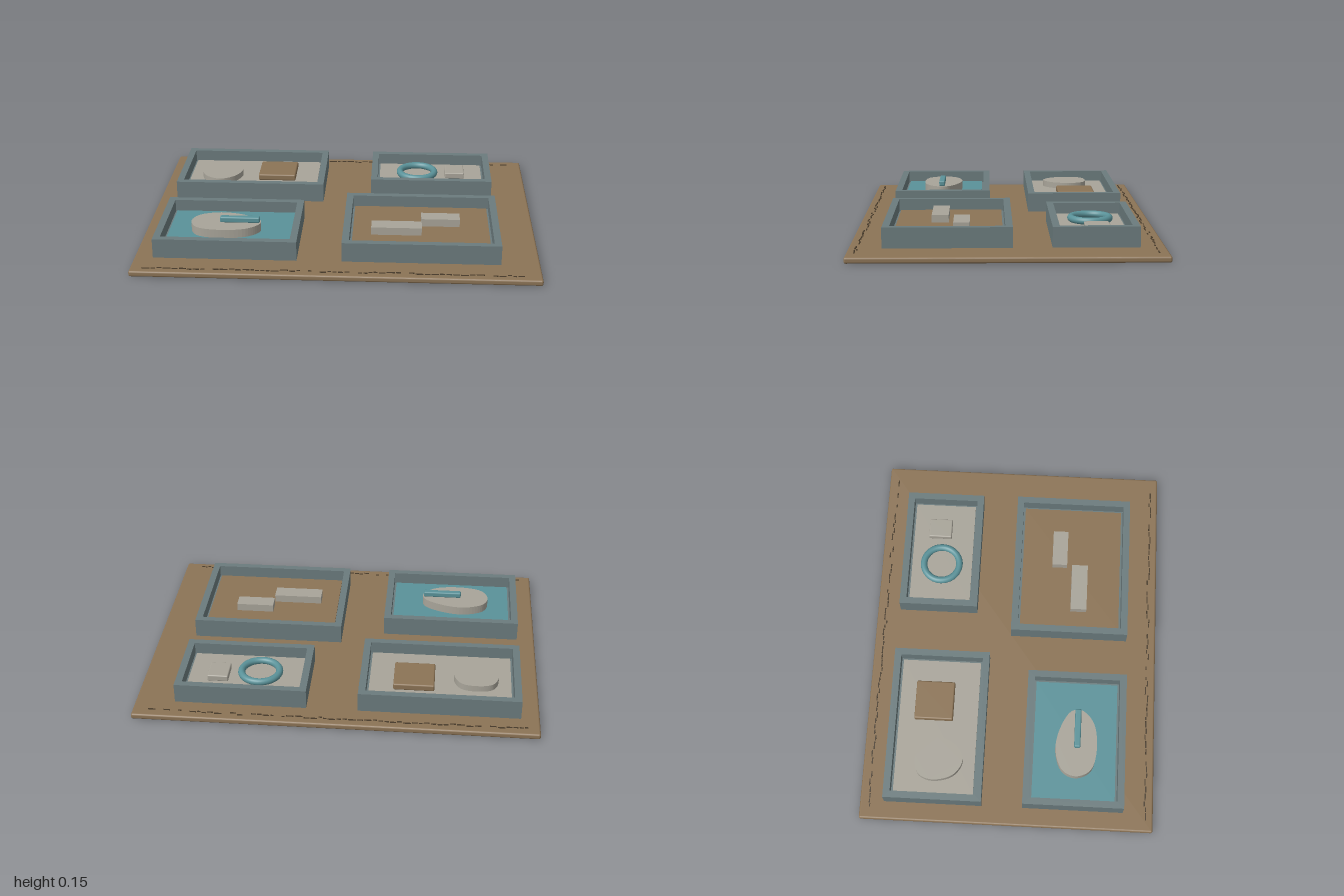
import * as THREE from 'three';
import { RoundedBoxGeometry } from 'three/addons/geometries/RoundedBoxGeometry.js';

const mat = (name, color) => Object.assign(new THREE.MeshStandardMaterial({ color }), { name });

export function createModel() {
  const model = new THREE.Group();
  const wood = mat('wood brown', 0x8b7355);
  const slate = mat('slate grey', 0x6b7b7d);
  const teal = mat('teal', 0x5a9299);
  const stone = mat('pale stone', 0xa8a499);
  const dark = mat('dark stitch', 0x4a3d2c);

  const FLOOR = 0.075, RIM = 0.13, WALL = 0.035;

  const add = (parent, name, geometry, material) => {
    const mesh = new THREE.Mesh(geometry, material);
    mesh.name = name;
    parent.add(mesh);
    return mesh;
  };

  // Box given by its extents, rounded when r > 0
  const block = (parent, name, material, [x0, x1], [y0, y1], [z0, z1], r = 0) => {
    const s = [x1 - x0, y1 - y0, z1 - z0];
    const g = r ? new RoundedBoxGeometry(...s, 3, r) : new THREE.BoxGeometry(...s);
    const mesh = add(parent, name, g, material);
    mesh.position.set((x0 + x1) / 2, (y0 + y1) / 2, (z0 + z1) / 2);
    return mesh;
  };

  // Smooth closed outline in x, z raised into a flat slab
  const slab = (parent, name, material, outline, y0, y1) => {
    const curve = new THREE.CatmullRomCurve3(
      outline.map(([x, z]) => new THREE.Vector3(x, -z, 0)), true);
    const shape = new THREE.Shape(curve.getPoints(64).slice(0, -1).map(p => new THREE.Vector2(p.x, p.y)));
    const g = new THREE.ExtrudeGeometry(shape, { depth: y1 - y0, bevelEnabled: false });
    g.rotateX(-Math.PI / 2);
    add(parent, name, g, material).position.y = y0;
  };

  // Tray: rectangular wall ring, inner ledge and coloured floor
  const tray = (name, [x0, x1], [z0, z1], floorMaterial) => {
    const group = new THREE.Group();
    group.name = name;
    model.add(group);
    const rect = (Type, i) => new Type([
      [x0 + i, -z1 + i], [x1 - i, -z1 + i], [x1 - i, -z0 - i], [x0 + i, -z0 - i],
    ].map(p => new THREE.Vector2(...p)));
    const ring = rect(THREE.Shape, 0);
    ring.holes.push(rect(THREE.Path, WALL));
    const g = new THREE.ExtrudeGeometry(ring, { depth: RIM - 0.03, bevelEnabled: false });
    g.rotateX(-Math.PI / 2);
    add(group, 'trayWall', g, slate).position.y = 0.03;
    const inset = (i) => [[x0 + i, x1 - i], [z0 + i, z1 - i]];
    const [lx, lz] = inset(WALL);
    block(group, 'trayLedge', slate, lx, [0.03, FLOOR - 0.008], lz);
    const [fx, fz] = inset(WALL + 0.01);
    block(group, 'trayFloor', floorMaterial, fx, [0.04, FLOOR], fz);
    return group;
  };

  // Base board
  block(model, 'baseBoard', wood, [-1, 1], [0, 0.03], [-0.75, 0.75], 0.01);

  // Back left tray: round pebble and wooden block
  const pebbleTray = tray('pebbleTray', [-0.908, -0.108], [-0.627, -0.128], stone);
  slab(pebbleTray, 'pebble', stone, [
    [-0.80, -0.39], [-0.77, -0.46], [-0.69, -0.48], [-0.61, -0.46], [-0.575, -0.38],
    [-0.61, -0.28], [-0.69, -0.235], [-0.77, -0.28],
  ], FLOOR, 0.108);
  block(pebbleTray, 'woodenBlock', wood, [-0.48, -0.275], [FLOOR, 0.11], [-0.5, -0.3], 0.008);

  // Back right tray: ring and small block
  const ringTray = tray('ringTray', [0.147, 0.803], [-0.627, -0.212], stone);
  const ring = add(ringTray, 'ring', new THREE.TorusGeometry(0.096, 0.018, 16, 48), teal);
  ring.rotation.x = Math.PI / 2;
  ring.position.set(0.4, 0.095, -0.42);
  block(ringTray, 'smallBlock', stone, [0.555, 0.66], [FLOOR, 0.108], [-0.5, -0.377], 0.006);

  // Front left tray: island in water with a bar on top
  const waterTray = tray('waterTray', [-0.907, -0.195], [0.08, 0.595], teal);
  slab(waterTray, 'island', stone, [
    [-0.75, 0.345], [-0.72, 0.275], [-0.61, 0.237], [-0.48, 0.265], [-0.405, 0.315],
    [-0.398, 0.365], [-0.46, 0.428], [-0.6, 0.45], [-0.715, 0.42],
  ], FLOOR, 0.12);
  block(waterTray, 'bar', teal, [-0.602, -0.4], [0.12, 0.15], [0.332, 0.364], 0.007);

  // Front right tray: two planks
  const plankTray = tray('plankTray', [0.026, 0.808], [-0.025, 0.592], wood);
  block(plankTray, 'longPlank', stone, [0.165, 0.42], [FLOOR, 0.115], [0.287, 0.372]);
  block(plankTray, 'shortPlank', stone, [0.418, 0.615], [FLOOR, 0.115], [0.18, 0.26]);

  // Stitched dashes along the front and back edges
  let seed = 7;
  const rand = () => (seed = (seed * 16807) % 2147483647) / 2147483647;
  for (const z of [-0.705, 0.708]) {
    for (let x = -0.94; x < 0.91;) {
      const w = 0.015 + rand() * 0.025, dz = (rand() - 0.5) * 0.014;
      block(model, 'stitch', dark, [x, x + w], [0.029, 0.033], [z + dz - 0.003, z + dz + 0.003]);
      x += w + (rand() < 0.15 ? 0.04 : 0.006);
    }
  }
  return model;
}
